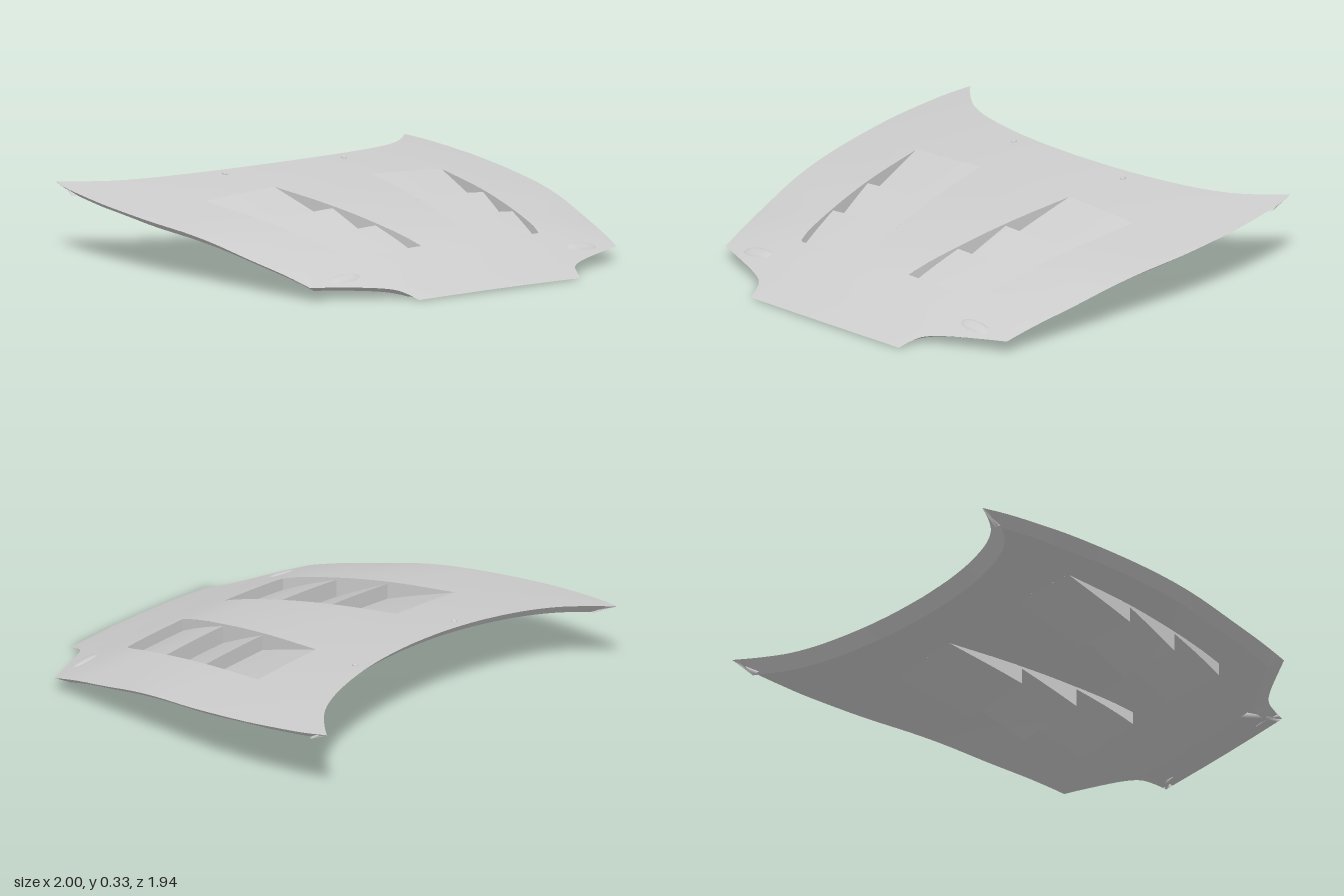
import * as THREE from 'three';

const mat = new THREE.MeshStandardMaterial({ color: 0xcccccc, side: THREE.DoubleSide });

// Height of the curved skin: centreline profile (z = 1.25 to -1.25) minus cross crown,
// with a little extra droop along the front wings
const profile = new THREE.SplineCurve(
  [-0.11, 0, 0.09, 0.177, 0.232, 0.271, 0.298, 0.322, 0.342, 0.358, 0.37]
    .map((y, i) => new THREE.Vector2(1.25 - i * 0.25, y)));
const height = (x, z) => profile.getPoint((1.25 - z) / 2.5).y - 0.06 * x * x
  - 0.03 * x ** 4 * Math.exp(-(((z - 0.45) / 0.25) ** 2));

const vecs = (list) => list.map(([x, z]) => new THREE.Vector2(x, z));
const spline = (list, n) => new THREE.SplineCurve(vecs(list)).getPoints(n);

// Full outline in (x, z): rear edge, side, headlight notch, nose, then mirrored
function makeOutline() {
  const half = [
    ...spline([[0, -0.63], [0.2, -0.64], [0.4, -0.67], [0.6, -0.725], [0.75, -0.795], [0.86, -0.885], [0.945, -0.975]], 24),
    ...spline([[0.945, -0.975], [0.975, -0.85], [0.995, -0.65], [1, -0.5], [0.99, -0.25], [0.96, 0], [0.92, 0.25], [0.87, 0.5], [0.83, 0.69]], 28).slice(1),
    ...spline([[0.83, 0.69], [0.7, 0.745], [0.56, 0.805], [0.485, 0.85], [0.455, 0.9], [0.438, 0.953]], 16).slice(1),
    ...spline([[0.438, 0.953], [0.2, 0.963], [0, 0.966]], 8).slice(1),
  ];
  const other = half.slice(1, -1).reverse().map((p) => new THREE.Vector2(-p.x, p.y));
  return [...half, ...other];
}

// Vent edges: x of the inner and outer side at a given z
const VENT_Z = [-0.31, 0.04, 0.3, 0.567];
const along = (xs, z) => {
  let i = 0;
  while (i < 2 && z > VENT_Z[i + 1]) i++;
  return THREE.MathUtils.mapLinear(z, VENT_Z[i], VENT_Z[i + 1], xs[i], xs[i + 1]);
};
const innerX = (z) => along([0.262, 0.215, 0.178, 0.135], z);
const outerX = (z) => along([0.64, 0.6, 0.562, 0.515], z);

function ventHole(side) {
  const zs = [];
  for (let i = 0; i <= 12; i++) zs.push(THREE.MathUtils.lerp(VENT_Z[0], VENT_Z[3], i / 12));
  const pts = zs.map((z) => [innerX(z), z]);
  pts.push([0.49, 0.567], [0.507, 0.558]);
  zs.slice(0, -1).reverse().forEach((z) => pts.push([outerX(z), z]));
  return new THREE.Path(vecs(pts.map(([x, z]) => [side * x, z])));
}

// Skin: flat outline with holes, split until fine, then lifted onto the curve
function skinGeometry(outline) {
  const shape = new THREE.Shape(outline);
  shape.holes.push(ventHole(1), ventHole(-1));
  const flat = new THREE.ShapeGeometry(shape).toNonIndexed().attributes.position;
  const pos = [], nor = [], e = 0.01;
  const emit = (p) => {
    pos.push(p.x, height(p.x, p.y), p.y);
    const n = new THREE.Vector3(
      (height(p.x - e, p.y) - height(p.x + e, p.y)) / (2 * e), 1,
      (height(p.x, p.y - e) - height(p.x, p.y + e)) / (2 * e)).normalize();
    nor.push(n.x, n.y, n.z);
  };
  const split = (a, b, c) => {
    const ab = a.distanceTo(b), bc = b.distanceTo(c), ca = c.distanceTo(a);
    const longest = Math.max(ab, bc, ca);
    if (longest < 0.07) { [a, c, b].forEach(emit); return; }
    if (longest === bc) [a, b, c] = [b, c, a];
    else if (longest === ca) [a, b, c] = [c, a, b];
    const m = a.clone().add(b).multiplyScalar(0.5);
    split(a, m, c);
    split(m, b, c);
  };
  for (let i = 0; i < flat.count; i += 3) {
    split(...[0, 1, 2].map((k) => new THREE.Vector2(flat.getX(i + k), flat.getY(i + k))));
  }
  const g = new THREE.BufferGeometry();
  g.setAttribute('position', new THREE.Float32BufferAttribute(pos, 3));
  g.setAttribute('normal', new THREE.Float32BufferAttribute(nor, 3));
  return g;
}

// Grid surface from a rule f(u, v) -> [x, y, z]
function sheet(name, nu, nv, f) {
  const pos = [], idx = [];
  for (let j = 0; j <= nv; j++) for (let i = 0; i <= nu; i++) pos.push(...f(i / nu, j / nv));
  for (let j = 0; j < nv; j++) for (let i = 0; i < nu; i++) {
    const a = j * (nu + 1) + i, b = a + nu + 1;
    idx.push(a, b, a + 1, a + 1, b, b + 1);
  }
  const g = new THREE.BufferGeometry();
  g.setAttribute('position', new THREE.Float32BufferAttribute(pos, 3));
  g.setIndex(idx);
  g.computeVertexNormals();
  const mesh = new THREE.Mesh(g, mat);
  mesh.name = name;
  return mesh;
}

// Folded lip all round, leaning inward below the edge and wider under the nose
function edgeFlange(outline) {
  const n = outline.length;
  const dir = (a, b) => b.clone().sub(a).normalize();
  return sheet('edgeFlange', n, 1, (u, v) => {
    const i = Math.round(u * n) % n, p = outline[i];
    if (v === 0) return [p.x, height(p.x, p.y), p.y];
    const d0 = dir(outline[(i + n - 1) % n], p), d1 = dir(p, outline[(i + 1) % n]);
    const inward = new THREE.Vector2(-d0.y - d1.y, d0.x + d1.x).normalize();
    const miter = Math.min(1.8, 1 / Math.max(0.1, inward.dot(new THREE.Vector2(-d1.y, d1.x))));
    const inset = THREE.MathUtils.lerp(0.06, 0.15, THREE.MathUtils.smoothstep(p.y, 0.9, 0.953));
    const q = p.clone().addScaledVector(inward, inset * miter);
    // keep the lip inside the pointed rear corners
    const x = THREE.MathUtils.clamp(q.x, -0.935, 0.935), z = Math.max(-0.87, q.y);
    return [x, Math.max(0.005, height(x, z) - 0.045), z];
  });
}

// Three stepped louvre panels with risers and triangular side walls
function vent(side) {
  const group = new THREE.Group();
  group.name = side > 0 ? 'leftVent' : 'rightVent';
  const rearDrop = [0, 0.01, 0.01, 0], frontDrop = [0.08, 0.09, 0.055];
  const point = (u, z, drop) => {
    const x = side * THREE.MathUtils.lerp(innerX(z), outerX(z), u);
    return [x, height(x, z) - drop, z];
  };
  const flip = (t) => (side > 0 ? t : 1 - t);
  for (let k = 0; k < 3; k++) {
    const at = (u, v, depth) => point(u, THREE.MathUtils.lerp(VENT_Z[k], VENT_Z[k + 1], v),
      depth * THREE.MathUtils.lerp(rearDrop[k], frontDrop[k], v));
    group.add(
      sheet('louvre', 5, 4, (u, v) => at(flip(u), v, 1)),
      sheet('louvreRiser', 5, 1, (u, v) => point(flip(u), VENT_Z[k + 1],
        THREE.MathUtils.lerp(frontDrop[k], rearDrop[k + 1], v))),
      sheet('innerVentWall', 4, 1, (u, v) => at(0, flip(1 - u), v)),
      sheet('outerVentWall', 4, 1, (u, v) => at(1, flip(u), v)));
  }
  return group;
}

// Low oval dome following the skin
function washerCover(side) {
  return sheet('washerCover', 32, 6, (u, v) => {
    const a = u * Math.PI * 2, c = Math.cos(a), s = Math.sin(a);
    const x = side * 0.64 + 0.074 * v * Math.sign(c) * Math.abs(c) ** 0.8;
    const z = 0.69 + 0.03 * v * Math.sign(s) * Math.abs(s) ** 0.8;
    return [x, height(x, z) + 0.009 * (1 - v ** 4), z];
  });
}

export function createModel() {
  const model = new THREE.Group();
  model.name = 'bonnet';
  const outline = makeOutline();
  const skin = new THREE.Mesh(skinGeometry(outline), mat);
  skin.name = 'skin';
  model.add(skin, edgeFlange(outline));

  for (const side of [1, -1]) {
    // Windscreen washer nozzle
    const nozzle = new THREE.Mesh(new THREE.SphereGeometry(0.012, 12, 8), mat);
    nozzle.name = 'washerNozzle';
    nozzle.scale.set(0.9, 0.8, 1.3);
    nozzle.position.set(side * 0.322, height(0.322, -0.587), -0.587);
    model.add(vent(side), washerCover(side), nozzle);
  }
  return model;
}
